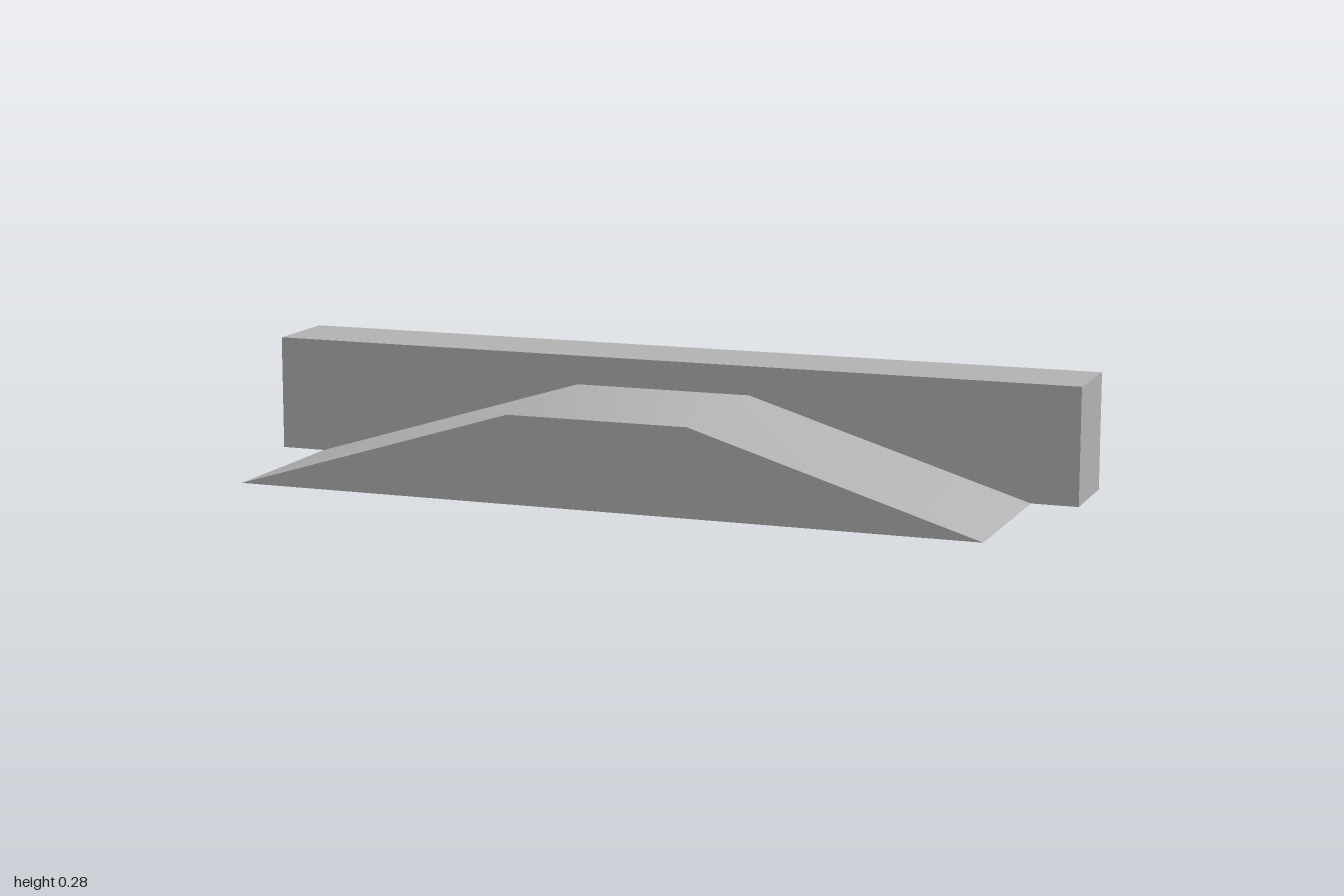
import * as THREE from 'three';
import { toCreasedNormals } from 'three/addons/utils/BufferGeometryUtils.js';

export function createModel() {
  const model = new THREE.Group();
  model.name = 'rampWithLedge';
  const concrete = new THREE.MeshStandardMaterial({ color: 0xb3b3b3 });
  concrete.name = 'concreteGrey';

  // Long straight ledge along the back
  const back = -0.317, seam = -0.11, front = 0.317;
  const height = 0.275;
  const ledge = new THREE.Mesh(new THREE.BoxGeometry(2, height, seam - back), concrete);
  ledge.name = 'ledge';
  ledge.position.set(0, height / 2, (back + seam) / 2);
  model.add(ledge);

  // Ramp up, flat top and ramp down, with softly shaded bends
  const profile = new THREE.Shape([
    [-0.89, 0], [0.89, 0], [0.215, 0.206], [-0.215, 0.206],
  ].map(([x, y]) => new THREE.Vector2(x, y)));
  const rampGeometry = toCreasedNormals(
    new THREE.ExtrudeGeometry(profile, { depth: front - seam, bevelEnabled: false }),
    Math.PI / 6,
  );
  const ramp = new THREE.Mesh(rampGeometry, concrete);
  ramp.name = 'ramp';
  ramp.position.z = seam;
  model.add(ramp);

  return model;
}
